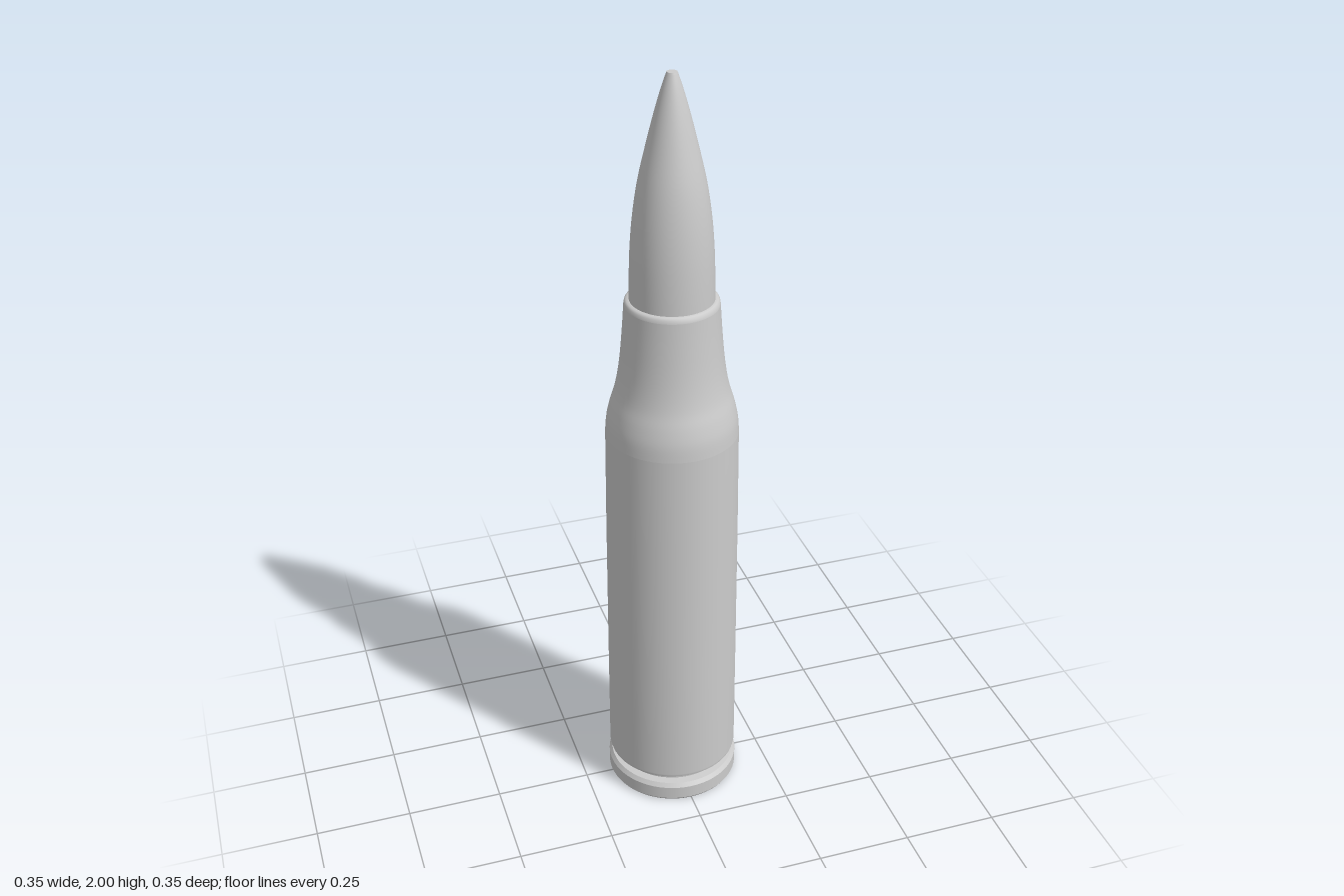
import * as THREE from 'three';

const SIDES = 64;

export function createModel() {
  const group = new THREE.Group();
  const material = new THREE.MeshStandardMaterial({ color: 0xcccccc });

  // Revolve one [radius, height] profile, bottom to top; smooth ones follow a spline
  function turn(name, profile, smooth = false) {
    let points = profile.map(([r, y]) => new THREE.Vector2(r, y));
    if (smooth) points = new THREE.SplineCurve(points).getPoints(28);
    const mesh = new THREE.Mesh(new THREE.LatheGeometry(points, SIDES), material);
    mesh.name = name;
    group.add(mesh);
  }

  // Separate strips meet at crisp edges
  function turnCrisp(name, profile) {
    for (let i = 0; i < profile.length - 1; i++) turn(name, [profile[i], profile[i + 1]]);
  }

  // Flat base, rim and extractor groove
  turnCrisp('rim', [[0, 0], [0.172, 0], [0.176, 0.006], [0.176, 0.042], [0.168, 0.053], [0.148, 0.055]]);
  turnCrisp('extractorGroove', [[0.148, 0.055], [0.148, 0.06], [0.171, 0.08]]);

  // Slightly tapered case wall
  turn('caseBody', [[0.171, 0.08], [0.173, 0.088], [0.172, 0.4], [0.17, 0.8], [0.1675, 1.08]]);

  // Rounded shoulder running into the neck
  turn('shoulderAndNeck', [
    [0.1675, 1.08], [0.164, 1.12], [0.155, 1.16], [0.143, 1.2], [0.134, 1.245],
    [0.127, 1.3], [0.121, 1.37], [0.117, 1.43],
  ], true);

  // Rolled case mouth
  turn('caseMouth', [[0.117, 1.43], [0.1155, 1.438], [0.111, 1.443], [0.104, 1.444]]);

  // Pointed projectile with a small flat tip
  turn('projectile', [
    [0.104, 1.42], [0.103, 1.5], [0.1, 1.58], [0.093, 1.66], [0.081, 1.74],
    [0.063, 1.82], [0.043, 1.9], [0.026, 1.96], [0.014, 1.996],
  ], true);
  turnCrisp('tip', [[0.014, 1.996], [0.0125, 2], [0, 2]]);

  return group;
}
